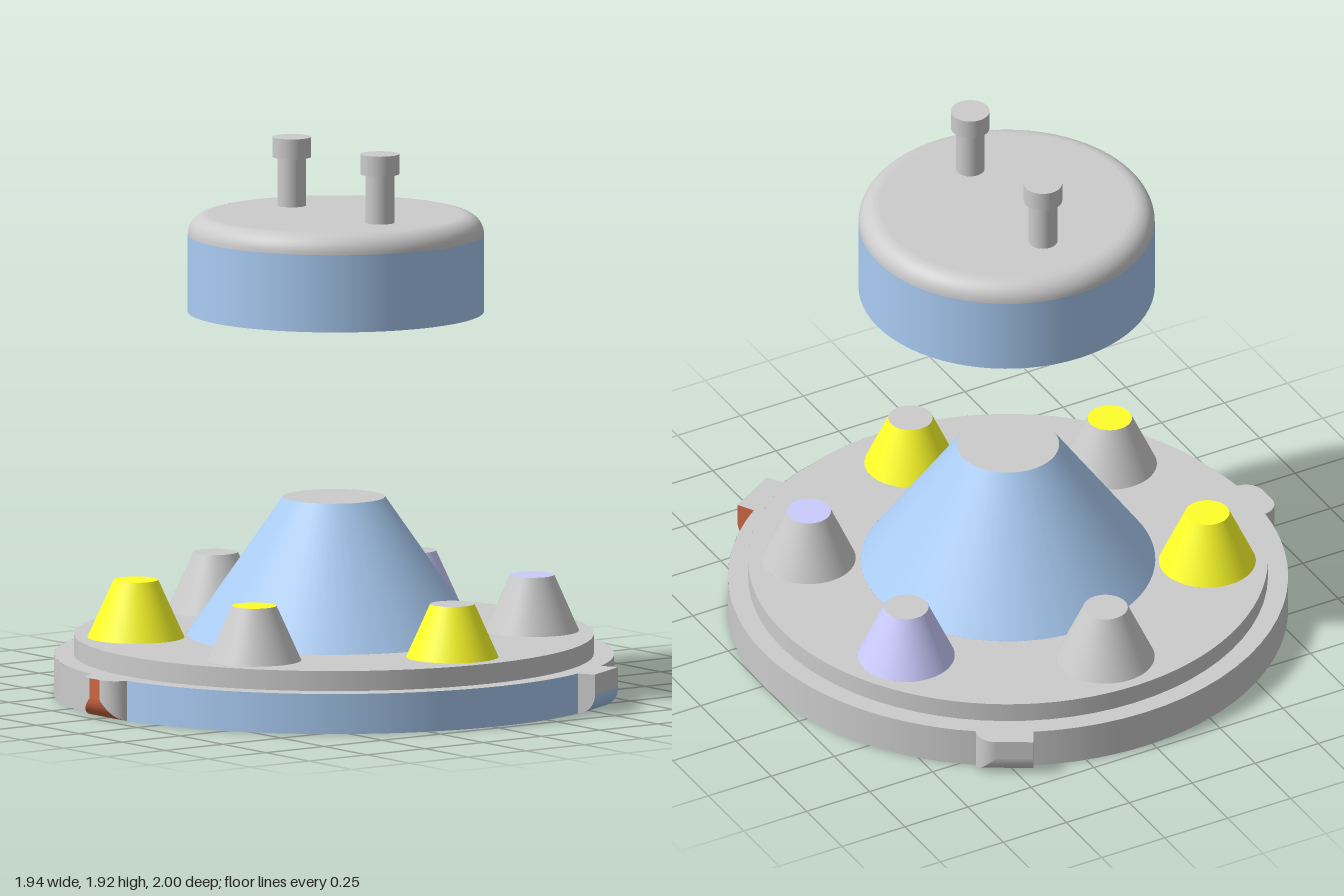
import * as THREE from 'three';

const GREY = 0xcccccc, BLUE = 0xaaccf4, YELLOW = 0xffff2a, PURPLE = 0xccccff, RED = 0xcc6644;
const TAU = Math.PI * 2;

function add(parent, name, geometry, color = GREY) {
  const material = new THREE.MeshStandardMaterial({ color, side: THREE.DoubleSide });
  const mesh = new THREE.Mesh(geometry, material);
  mesh.name = name;
  parent.add(mesh);
  return mesh;
}

// Surface of revolution from [radius, y] pairs
function turned(points, start = 0, length = TAU) {
  return new THREE.LatheGeometry(points.map(p => new THREE.Vector2(...p)), 72, start, length);
}

// Horizontal disc facing up, with round holes [x, z, r]
function plate(radius, y, holes) {
  const shape = new THREE.Shape().absarc(0, 0, radius, 0, TAU);
  for (const [x, z, r] of holes) shape.holes.push(new THREE.Path().absarc(x, -z, r, 0, TAU, true));
  return new THREE.ShapeGeometry(shape, 48).rotateX(-Math.PI / 2).translate(0, y, 0);
}

// Surface spanned between two rails, given as lists of [x, y, z]
function strip(a, b) {
  const index = [];
  for (let i = 0; i < a.length - 1; i++) {
    const j = i + a.length;
    index.push(i, j, i + 1, i + 1, j, j + 1);
  }
  const geometry = new THREE.BufferGeometry();
  geometry.setAttribute('position', new THREE.Float32BufferAttribute([...a, ...b].flat(), 3));
  geometry.setIndex(index);
  geometry.computeVertexNormals();
  return geometry;
}

// Rim tab along +z: rounded lower edge, each side edge either rounded or square
function makeTab(name, angle, roundLeft, roundRight, faceColor, filletColor, endColor) {
  const tab = new THREE.Group();
  tab.name = name;
  tab.rotation.y = angle;
  const W = 0.1, R = 0.07, D = 1.03, H = 0.14, inner = 0.93;
  const arc = Array.from({ length: 13 }, (_, i) => {
    const a = (i / 12) * Math.PI / 2;
    return { inset: R - R * Math.sin(a), depth: D - R + R * Math.cos(a) };
  });
  const left = roundLeft ? W - R : W, right = roundRight ? W - R : W;
  add(tab, 'tabFace', strip([[-left, R, D], [right, R, D]], [[-left, H, D], [right, H, D]]), faceColor);

  // lower fillet, mitred against the rounded side edges
  const reach = (round, p) => round ? W - p.inset : W;
  const edge = arc.map(p => ({ ...p, y: p.inset }));
  add(tab, 'tabFillet', strip(
    edge.map(p => [-reach(roundLeft, p), p.y, p.depth]),
    edge.map(p => [reach(roundRight, p), p.y, p.depth])), filletColor);

  const outline = [];
  for (const [side, round] of [[-1, roundLeft], [1, roundRight]]) {
    if (round) {
      add(tab, 'tabRoundedSide', strip(
        arc.map(p => [side * (W - p.inset), p.inset, p.depth]),
        arc.map(p => [side * (W - p.inset), H, p.depth])));
    } else {
      const end = new THREE.Shape([[inner, 0], ...edge.slice().reverse().map(p => [p.depth, p.y]),
        [D, H], [inner, H]].map(p => new THREE.Vector2(...p)));
      add(tab, 'tabEnd', new THREE.ShapeGeometry(end).rotateY(-Math.PI / 2).translate(side * W, 0, 0),
        side > 0 ? endColor : GREY);
    }
    // plan outline from the disc out to the tab face
    const half = [[side * W, inner], ...(round
      ? arc.slice().reverse().map(p => [side * (W - p.inset), p.depth]) : [[side * W, D]])];
    outline.push(...(side < 0 ? half : half.reverse()));
  }
  const top = new THREE.Shape(outline.map(([x, z]) => new THREE.Vector2(x, -z)));
  add(tab, 'tabTop', new THREE.ShapeGeometry(top).rotateX(-Math.PI / 2).translate(0, H, 0));
  return tab;
}

export function createModel() {
  const model = new THREE.Group();
  const base = new THREE.Group();
  base.name = 'base';
  base.position.z = -0.03;
  model.add(base);

  // Stepped rim, one third of it blue
  add(base, 'rimBlueSector', turned([[0.97, 0], [0.97, 0.14]], 0, TAU / 3), BLUE);
  add(base, 'rimGreySector', turned([[0.97, 0], [0.97, 0.14]], TAU / 3, TAU * 2 / 3));
  add(base, 'rimLedge', turned([[0.97, 0.14], [0.9, 0.14]]));
  add(base, 'stepWall', turned([[0.9, 0.14], [0.9, 0.21]]));
  add(base, 'rimBottom', turned([[0.95, 0], [0.97, 0]]));
  add(base, 'rimInside', turned([[0.87, 0.21], [0.95, 0]]));

  // Six hollow studs around the central cone: side colour, top colour, height, radius
  const studs = [
    [GREY, YELLOW, 0.40, 0.163], [YELLOW, GREY, 0.395, 0.16], [GREY, PURPLE, 0.405, 0.163],
    [PURPLE, GREY, 0.41, 0.168], [GREY, GREY, 0.415, 0.17], [YELLOW, YELLOW, 0.41, 0.168],
  ];
  const holes = [[0, 0, 0.51]];
  studs.forEach(([sideColor, topColor, height, radius], i) => {
    const angle = TAU / 12 + i * TAU / 6;
    const stud = new THREE.Group();
    stud.name = 'stud';
    stud.position.set(0.69 * Math.sin(angle), 0, 0.69 * Math.cos(angle));
    add(stud, 'studSide', turned([[radius, 0.21], [0.077, height]]), sideColor);
    add(stud, 'studTop', plate(0.077, height, []), topColor);
    base.add(stud);
    holes.push([stud.position.x, stud.position.z, radius]);
  });
  add(base, 'basePlate', plate(0.9, 0.21, holes));

  // Hollow central cone
  add(base, 'centralCone', turned([[0.51, 0.21], [0.177, 0.69]]), BLUE);
  add(base, 'centralConeTop', plate(0.177, 0.69, []));

  // Three rim tabs
  base.add(
    makeTab('frontTab', 0, true, true, RED, RED, GREY),
    makeTab('leftTab', TAU / 3, false, false, GREY, BLUE, RED),
    makeTab('rightTab', -TAU / 3, true, false, GREY, GREY, GREY));

  // Floating cap, open below, with two hollow pegs
  const cap = new THREE.Group();
  cap.name = 'cap';
  cap.position.set(0.015, 0, -0.027);
  model.add(cap);
  const R = 0.513, F = 0.07, TOP = 1.68;
  const fillet = Array.from({ length: 11 }, (_, i) => {
    const a = (i / 10) * Math.PI / 2;
    return [R - F + F * Math.cos(a), TOP - F + F * Math.sin(a)];
  });
  add(cap, 'capWall', turned([[R, 1.34], [R, TOP - F]]), BLUE);
  add(cap, 'capRoundedEdge', turned(fillet));
  const pegs = [-0.257, 0.257];
  add(cap, 'capTop', plate(R - F, TOP, pegs.map(x => [x, 0, 0.05])));
  for (const x of pegs) {
    const peg = new THREE.Group();
    peg.name = 'peg';
    peg.position.x = x;
    add(peg, 'pegStem', turned([[0.05, TOP], [0.05, 1.85]]));
    add(peg, 'pegHead', new THREE.CylinderGeometry(0.067, 0.067, 0.07, 48).translate(0, 1.885, 0));
    cap.add(peg);
  }
  return model;
}
